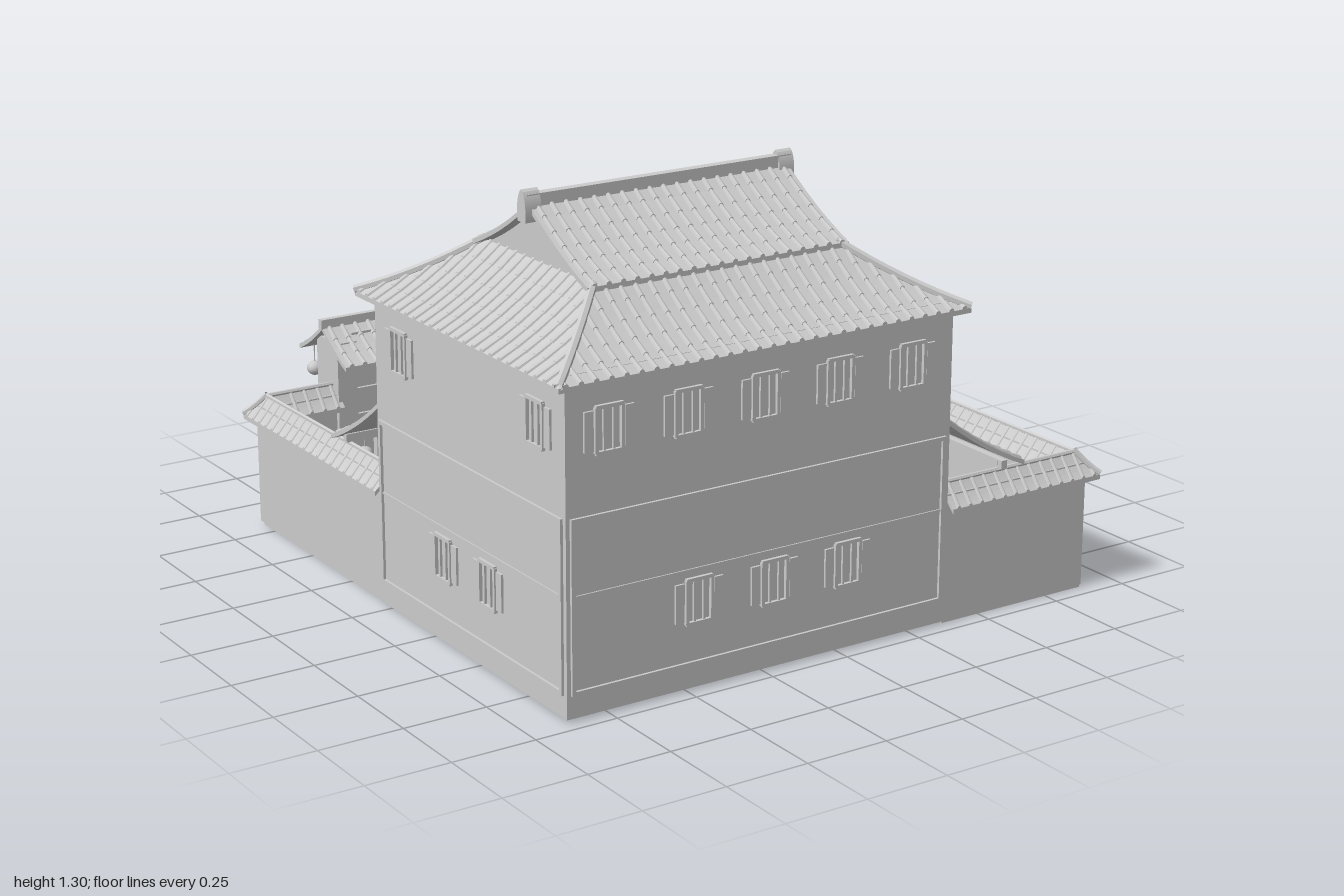
import * as THREE from 'three';

const mat = new THREE.MeshStandardMaterial({ color: 0xcccccc });
const tileMat = new THREE.MeshStandardMaterial({ color: 0xcccccc, flatShading: true, side: THREE.DoubleSide });
const lerp = THREE.MathUtils.lerp;

export function createModel() {
  const root = new THREE.Group();

  function add(name, geo, x, y, z, parent = root, material = mat) {
    const m = new THREE.Mesh(geo, material);
    m.name = name;
    m.position.set(x, y, z);
    parent.add(m);
    return m;
  }
  // box given by its min and max on each axis
  function box(name, x0, x1, y0, y1, z0, z1, parent = root) {
    return add(name, new THREE.BoxGeometry(x1 - x0, y1 - y0, z1 - z0),
      (x0 + x1) / 2, (y0 + y1) / 2, (z0 + z1) / 2, parent);
  }
  function group(name, x, y, z, turn = 0, parent = root) {
    const g = new THREE.Group();
    g.name = name;
    g.position.set(x, y, z);
    g.rotation.y = turn;
    parent.add(g);
    return g;
  }

  // skin a list of equal rings, with both ends closed
  function loft(out, rings) {
    const tri = (...p) => p.forEach(v => out.push(...v));
    const n = rings[0].length;
    for (let k = 0; k + 1 < rings.length; k++) {
      for (let i = 0; i < n; i++) {
        const a = rings[k], b = rings[k + 1], j = (i + 1) % n;
        tri(a[i], a[j], b[i]);
        tri(a[j], b[j], b[i]);
      }
    }
    const s = rings[0], e = rings[rings.length - 1];
    for (let i = 1; i + 1 < n; i++) {
      tri(s[0], s[i + 1], s[i]);
      tri(e[0], e[i], e[i + 1]);
    }
  }
  const sag = (t, k = 0.3) => t * (1 - k) + k * t * t;

  // tiled slope: eave runs A to B, top edge D to C (plan points [x, z])
  function slope(name, A, B, C, D, y0, y1, r = 0.009, gap = 0.045) {
    const L = Math.hypot(B[0] - A[0], B[1] - A[1]);
    const e = [(B[0] - A[0]) / L, (B[1] - A[1]) / L], n = [e[1], -e[0]];
    const dot = (p, d) => (p[0] - A[0]) * d[0] + (p[1] - A[1]) * d[1];
    const depth = dot(D, n), aTop = dot(D, e), bTop = dot(C, e);
    const P = (u, t, h) => [
      A[0] + e[0] * u + n[0] * depth * t,
      lerp(y0, y1, sag(t)) + h,
      A[1] + e[1] * u + n[1] * depth * t];
    const out = [], deck = [], th = 0.014;
    for (let i = 0; i <= 6; i++) {
      const t = i / 6, a = lerp(0, aTop, t), b = lerp(L, bTop, t);
      deck.push([P(a, t, 0), P(b, t, 0), P(b, t, -th), P(a, t, -th)]);
    }
    loft(out, deck);
    // rolls of overlapping tiles, cut off at the hips
    const count = Math.max(1, Math.round(L / gap));
    for (let c = 0; c < count; c++) {
      const u = (c + 0.5) * L / count;
      let tMax = 1;
      if (aTop > 1e-4) tMax = Math.min(tMax, u / aTop);
      if (bTop < L - 1e-4) tMax = Math.min(tMax, (L - u) / (L - bTop));
      const rows = Math.max(1, Math.round(tMax * depth / 0.05)), rings = [];
      for (let j = 0; j < rows; j++) {
        for (const [q, w] of [[j, r], [j + 1, r * 0.75]]) {
          const ring = [];
          for (let i = 0; i < 5; i++) {
            const f = Math.PI * (1 - i / 4);
            ring.push(P(u + Math.cos(f) * w, tMax * q / rows, Math.sin(f) * w));
          }
          rings.push(ring);
        }
      }
      loft(out, rings);
    }
    const g = new THREE.BufferGeometry();
    g.setAttribute('position', new THREE.Float32BufferAttribute(out, 3));
    g.computeVertexNormals();
    add(name, g, 0, 0, 0, root, tileMat);
  }
  // rounded beam along a hip
  function hip(name, A, D, y0, y1, r = 0.012) {
    const pts = [];
    for (let i = 0; i <= 6; i++) {
      const t = i / 6;
      pts.push(new THREE.Vector3(lerp(A[0], D[0], t), lerp(y0, y1, sag(t)) + 0.005, lerp(A[1], D[1], t)));
    }
    add(name, new THREE.TubeGeometry(new THREE.CatmullRomCurve3(pts), 8, r, 6), 0, 0, 0, root, tileMat);
  }

  // paved yard and house body
  box('yardPavingSide', 0.37, 0.88, 0, 0.012, -0.82, 0.95);
  box('yardPavingBack', -0.865, 0.37, 0, 0.012, -0.82, -0.04);
  box('houseBody', -0.88, 0.37, 0.05, 0.95, -0.04, 0.96);
  for (const z of [-0.04, 0.945]) box('housePlinth', -0.88, 0.37, 0.01, 0.05, z, z + 0.015);
  for (const x of [-0.88, 0.355]) box('housePlinth', x, x + 0.015, 0.01, 0.05, -0.04, 0.96);

  // window with frame, shutters and lattice, facing local +z
  function windowAt(name, x, y, z, turn) {
    const g = group(name, x, y, z, turn);
    for (const s of [-1, 1]) {
      box('frameRail', -0.042, 0.042, s * 0.062 - 0.005, s * 0.062 + 0.005, 0, 0.01, g);
      box('frameStile', s * 0.04 - 0.005, s * 0.04 + 0.005, -0.062, 0.062, 0, 0.01, g);
      box('shutter', s * 0.062 - 0.014, s * 0.062 + 0.014, -0.055, 0.055, 0, 0.007, g);
    }
    for (const b of [-0.015, 0.015]) box('latticeBar', b - 0.003, b + 0.003, -0.06, 0.06, 0, 0.007, g);
  }
  const H = Math.PI / 2;
  for (const x of [-0.75, -0.505, -0.26, -0.015, 0.23]) {
    windowAt('upperFrontWindow', x, 0.79, 0.96, 0);
    windowAt('upperBackWindow', x, 0.79, -0.04, 2 * H);
  }
  for (const z of [0.1, 0.82]) {
    windowAt('upperLeftWindow', 0.37, 0.79, z, H);
    windowAt('upperRightWindow', -0.88, 0.79, z, -H);
  }
  for (const x of [-0.47, -0.225, 0.02]) windowAt('lowerFrontWindow', x, 0.26, 0.962, 0);
  for (const z of [0.33, 0.57]) windowAt('lowerRightWindow', -0.882, 0.26, z, -H);

  // framed plaster panels on the street sides
  function panel(name, x, z, w, turn) {
    const g = group(name, x, 0, z, turn);
    for (const y of [0.075, 0.552]) box('panelRail', -w, w, y, y + 0.012, 0, 0.008, g);
    for (const s of [-1, 1]) box('panelStile', s * w - 0.006, s * w + 0.006, 0.075, 0.564, 0, 0.008, g);
    box('panelMidRail', -w, w, 0.345, 0.351, 0, 0.004, g);
  }
  panel('frontPanel', -0.257, 0.96, 0.605, 0);
  panel('rightPanel', -0.88, 0.46, 0.48, -H);

  // main hipped skirt roof
  const rect = (x0, x1, z0, z1) => [[x0, z1], [x1, z1], [x1, z0], [x0, z0]];
  const O = rect(-0.92, 0.405, -0.08, 0.995), I = rect(-0.65, 0.135, 0.18, 0.735);
  for (let i = 0; i < 4; i++) {
    const j = (i + 1) % 4;
    slope('skirtRoof', O[i], O[j], I[j], I[i], 0.932, 1.1);
    hip('skirtHip', O[i], I[i], 0.932, 1.1);
  }
  // gabled top roof with ridge
  const rz = 0.458, U = rect(-0.68, 0.165, 0.162, 0.754);
  slope('topRoofFront', U[0], U[1], [0.165, rz], [-0.68, rz], 1.1, 1.265);
  slope('topRoofBack', U[2], U[3], [-0.68, rz], [0.165, rz], 1.1, 1.265);
  const gable = new THREE.Shape();
  gable.moveTo(-0.28, 1.06);
  for (let i = -6; i <= 6; i++) gable.lineTo(i / 6 * 0.28, 1.09 + 0.165 * sag(1 - Math.abs(i) / 6));
  gable.lineTo(0.28, 1.06);
  add('gableWalls', new THREE.ExtrudeGeometry(gable, { depth: 0.77, bevelEnabled: false }), -0.642, 0, rz).rotation.y = H;
  box('mainRidge', -0.69, 0.17, 1.24, 1.29, rz - 0.014, rz + 0.014);
  const tip = new THREE.Shape();
  tip.moveTo(-0.02, 1.215);
  tip.lineTo(0.02, 1.215);
  tip.quadraticCurveTo(0.026, 1.27, 0.008, 1.298);
  tip.lineTo(0, 1.304);
  tip.lineTo(-0.008, 1.298);
  tip.quadraticCurveTo(-0.026, 1.27, -0.02, 1.215);
  for (const x of [-0.7, 0.127]) {
    add('ridgeEnd', new THREE.ExtrudeGeometry(tip, { depth: 0.05, bevelEnabled: false }), x, 0, rz).rotation.y = H;
  }

  // L-shaped porch roof, deck and posts
  slope('porchRoofSide', [0.65, 0.955], [0.65, -0.33], [0.37, -0.04], [0.37, 0.955], 0.435, 0.605);
  slope('porchRoofBack', [0.65, -0.33], [-0.88, -0.33], [-0.88, -0.04], [0.37, -0.04], 0.435, 0.605);
  hip('porchHip', [0.65, -0.33], [0.37, -0.04], 0.435, 0.605);
  box('porchDeckSide', 0.37, 0.61, 0.01, 0.045, -0.3, 0.95);
  box('porchDeckBack', -0.86, 0.37, 0.01, 0.045, -0.3, -0.04);
  box('porchStep', -0.45, -0.31, 0.01, 0.03, -0.375, -0.3);
  box('porchBeamSide', 0.57, 0.59, 0.42, 0.445, -0.29, 0.95);
  box('porchBeamBack', -0.86, 0.59, 0.42, 0.445, -0.29, -0.27);
  const post = (x, z) => box('porchPost', x - 0.011, x + 0.011, 0.04, 0.44, z - 0.011, z + 0.011);
  for (const x of [0.58, 0.25, -0.09, -0.42, -0.75]) post(x, -0.28);
  for (const z of [0.02, 0.31, 0.61, 0.92]) post(0.58, z);
  // porch doors
  for (const x of [-0.6, -0.38, -0.16, 0.1]) {
    box('porchDoor', x - 0.08, x + 0.08, 0.045, 0.4, -0.052, -0.04);
    for (const d of [-0.08, 0, 0.08]) box('porchDoorStile', x + d - 0.005, x + d + 0.005, 0.045, 0.4, -0.06, -0.05);
  }
  for (const z of [0.2, 0.46, 0.72]) box('porchScreen', 0.37, 0.38, 0.1, 0.38, z - 0.08, z + 0.08);

  // hanging lanterns
  function lantern(x, y, z, top) {
    const g = group('lantern', x, y, z);
    add('lanternShade', new THREE.SphereGeometry(0.025, 12, 8), 0, 0, 0, g).scale.y = 0.9;
    add('lanternCord', new THREE.CylinderGeometry(0.002, 0.002, top - y, 5), 0, (top - y) / 2, 0, g);
  }
  for (const x of [-0.78, -0.56, -0.35, -0.05, 0.24, 0.49]) lantern(x, 0.36, -0.312, 0.44);
  for (const x of [-0.18, -0.6]) lantern(x, 0.42, -0.97, 0.5);

  // yard wall with tiled cap; m0 and m1 mark mitred ends
  function wall(name, P, Q, m0, m1) {
    const L = Math.hypot(Q[0] - P[0], Q[1] - P[1]), w = 0.055, t = 0.025;
    const e = [(Q[0] - P[0]) / L, (Q[1] - P[1]) / L], o = [-e[1], e[0]];
    const at = (p, along, off) => [p[0] + e[0] * along + o[0] * off, p[1] + e[1] * along + o[1] * off];
    const a = at(P, -t * m0, -t), b = at(Q, t * m1, t);
    box(name, Math.min(a[0], b[0]), Math.max(a[0], b[0]), 0.01, 0.385, Math.min(a[1], b[1]), Math.max(a[1], b[1]));
    slope(name + 'CapOuter', at(P, -w * m0, w), at(Q, w * m1, w), Q, P, 0.35, 0.415, 0.007, 0.042);
    slope(name + 'CapInner', at(Q, -w * m1, -w), at(P, w * m0, -w), P, Q, 0.35, 0.415, 0.007, 0.042);
    hip(name + 'CapRidge', P, Q, 0.41, 0.41, 0.007);
    if (m1) hip(name + 'CapCorner', at(Q, w, w), Q, 0.35, 0.415, 0.009);
  }
  wall('frontWall', [0.372, 0.93], [0.855, 0.93], 0, 1);
  wall('leftWall', [0.855, 0.93], [0.855, -0.81], 1, 1);
  wall('backWall', [0.855, -0.81], [-0.15, -0.81], 1, 0);
  wall('backWallShort', [-0.61, -0.81], [-0.845, -0.81], 0, 1);
  wall('rightWall', [-0.845, -0.81], [-0.845, -0.03], 1, 0);

  // gatehouse
  for (const x of [-0.59, -0.175]) box('gatePost', x - 0.033, x + 0.033, 0.012, 0.55, -0.905, -0.77);
  box('gateLintel', -0.56, -0.2, 0.46, 0.57, -0.88, -0.795);
  box('gateSill', -0.56, -0.2, 0.012, 0.03, -0.88, -0.8);
  for (const s of [-1, 1]) {
    const x = -0.3825 + s * 0.088;
    box('gateDoor', x - 0.086, x + 0.086, 0.03, 0.46, -0.865, -0.84);
    for (const d of [-0.078, 0.078]) box('gateDoorStile', x + d - 0.008, x + d + 0.008, 0.03, 0.46, -0.877, -0.828);
    for (let i = 0; i < 6; i++) box('gateDoorRail', x - 0.08, x + 0.08, 0.03 + i * 0.083, 0.045 + i * 0.083, -0.875, -0.83);
  }
  slope('gateRoofFront', [-0.64, -0.685], [-0.11, -0.685], [-0.11, -0.838], [-0.64, -0.838], 0.5, 0.595);
  slope('gateRoofBack', [-0.11, -0.99], [-0.64, -0.99], [-0.64, -0.838], [-0.11, -0.838], 0.5, 0.595);
  box('gateRidge', -0.645, -0.105, 0.585, 0.615, -0.848, -0.828);

  // pots, baskets and crates in the yard
  const potProfile = [[0, 0], [0.7, 0], [1, 0.8], [0.9, 1.5], [0.7, 1.7], [0.8, 1.8], [0.6, 1.8], [0.6, 1.4], [0, 1.4]];
  for (const [x, z, r] of [[0.57, -0.745, 0.028], [0.635, -0.715, 0.04], [0.745, -0.69, 0.055], [0.71, -0.59, 0.045],
    [0.67, -0.66, 0.014], [0.79, -0.62, 0.014], [-0.78, -0.745, 0.028], [-0.72, -0.365, 0.028], [-0.78, -0.35, 0.022]]) {
    add('yardPot', new THREE.LatheGeometry(potProfile.map(([a, b]) => new THREE.Vector2(a * r, b * r)), 14), x, 0.012, z);
  }
  for (const [x, z, a] of [[-0.765, -0.67, 0.5], [-0.76, -0.42, 0.3], [-0.7, -0.43, 0.9]]) {
    add('crate', new THREE.BoxGeometry(0.055, 0.05, 0.045), x, 0.037, z).rotation.y = a;
  }
  // stone lamp
  box('stoneLampBase', 0.69, 0.73, 0.012, 0.03, 0.8, 0.84);
  box('stoneLampBody', 0.697, 0.723, 0.03, 0.1, 0.807, 0.833);
  add('stoneLampCap', new THREE.ConeGeometry(0.032, 0.03, 4), 0.71, 0.115, 0.82).rotation.y = Math.PI / 4;

  return root;
}
